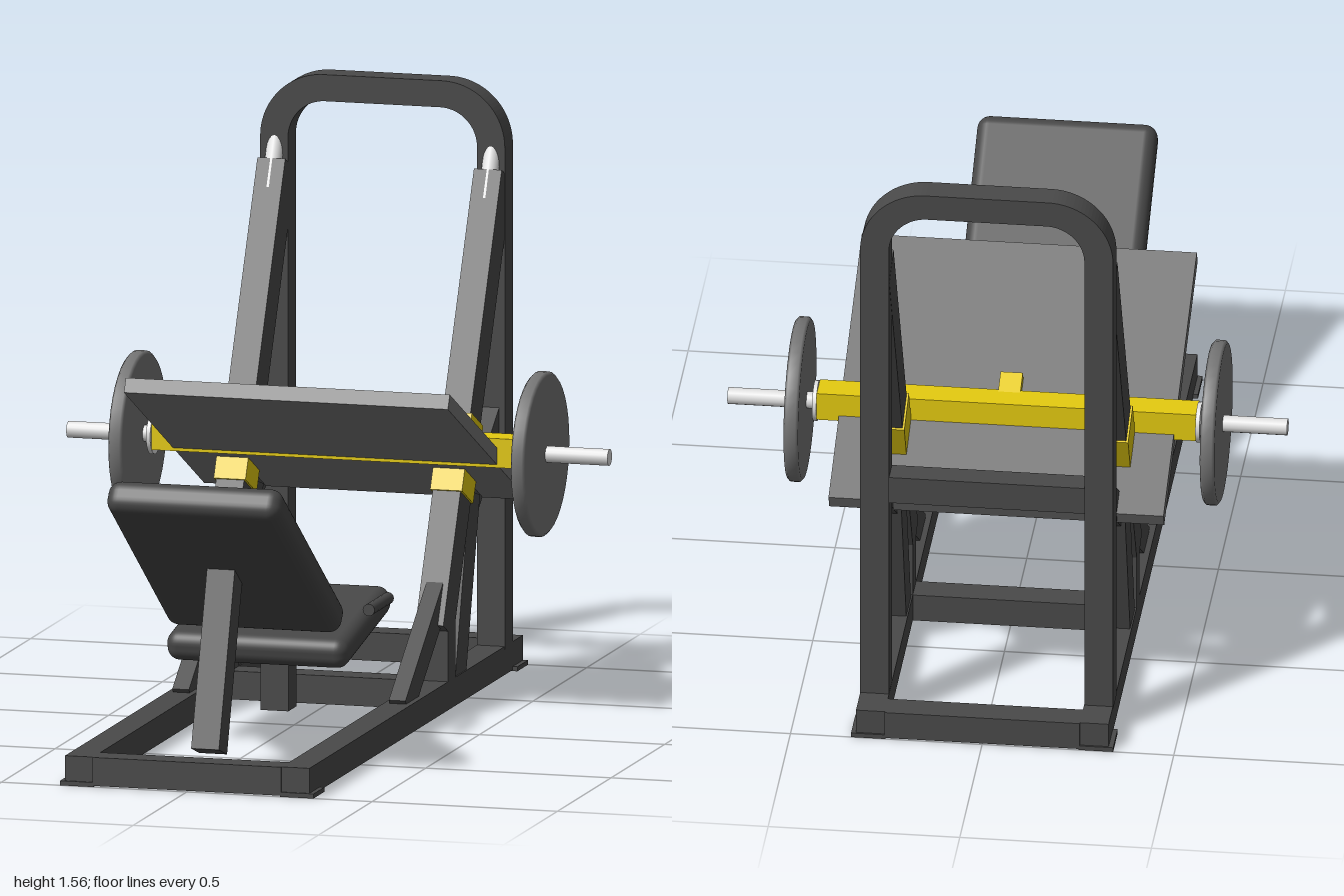
import * as THREE from 'three';
import { RoundedBoxGeometry } from 'three/addons/geometries/RoundedBoxGeometry.js';

const mat = (name, color) => {
  const m = new THREE.MeshStandardMaterial({ color });
  m.name = name;
  return m;
};

export function createModel() {
  const steel = mat('darkSteel', 0x4a4a4a);
  const vinyl = mat('padVinyl', 0x474747);
  const grey = mat('greyPlate', 0x757575);
  const yellow = mat('yellowPaint', 0xe6cc10);
  const chrome = mat('chrome', 0xe2e2e2);

  const root = new THREE.Group();
  root.name = 'legPressMachine';

  const add = (name, geo, material, x, y, z, tilt = 0) => {
    const mesh = new THREE.Mesh(geo, material);
    mesh.name = name;
    mesh.position.set(x, y, z);
    mesh.rotation.x = tilt;
    root.add(mesh);
    return mesh;
  };
  const box = (name, material, w, h, d, x, y, z, tilt) =>
    add(name, new THREE.BoxGeometry(w, h, d), material, x, y, z, tilt);
  const pad = (name, w, h, d, y, z, tilt) =>
    add(name, new RoundedBoxGeometry(w, h, d, 4, 0.034), vinyl, 0, y, z, tilt);
  // Straight tube between two [z, y] points
  const beam = (name, material, x, [z0, y0], [z1, y1], w, t) =>
    box(name, material, w, Math.hypot(z1 - z0, y1 - y0), t,
      x, (y0 + y1) / 2, (z0 + z1) / 2, Math.atan2(z1 - z0, y1 - y0));

  const T = 0.075, X = 0.292;          // tube size, side frame offset
  const railTilt = -0.459;             // lean of the guide rails

  // Base frame
  for (const z of [0.9625, -0.9625, -0.33])
    box('baseCrossbar', steel, 2 * X - T, T, T, 0, T / 2 + 0.003, z);
  for (const s of [-1, 1]) {
    box('baseRail', steel, T, T, 1.99, s * X, T / 2 + 0.003, 0);
    for (const e of [-1, 1])
      box('footPlate', steel, 0.09, 0.012, 0.1, s * 0.297, 0.006, e * 0.95);
  }

  // Rear hoop
  const o = 0.33, i = 0.255, top = 1.56, r = 0.17, ri = 0.1;
  const hoop = new THREE.Shape();
  hoop.moveTo(-o, 0.07);
  hoop.lineTo(-i, 0.07);
  hoop.lineTo(-i, top - r);
  hoop.absarc(-i + ri, top - r, ri, Math.PI, Math.PI / 2, true);
  hoop.absarc(i - ri, top - r, ri, Math.PI / 2, 0, true);
  hoop.lineTo(i, 0.07);
  hoop.lineTo(o, 0.07);
  hoop.lineTo(o, top - r);
  hoop.absarc(o - r, top - r, r, 0, Math.PI / 2, false);
  hoop.absarc(-o + r, top - r, r, Math.PI / 2, Math.PI, false);
  add('rearHoop', new THREE.ExtrudeGeometry(hoop, { depth: T, bevelEnabled: false, curveSegments: 12 }),
    steel, 0, 0, -0.9);
  box('hoopCrossbar', steel, 2 * i, T, T * 0.9, 0, 0.68, -0.8625);

  // Weight disc profile (radius, thickness)
  const disc = [[0, -0.019], [0.207, -0.019], [0.215, -0.012], [0.215, 0.012], [0.207, 0.019], [0, 0.019]]
    .map(([a, b]) => new THREE.Vector2(a, b));
  const sideways = (mesh) => { mesh.rotation.z = Math.PI / 2; };

  for (const s of [-1, 1]) {
    // Guide rail with its supports
    const x = s * X;
    beam('guideRail', steel, x, [-0.3, 0.21], [-0.845, 1.315], T, 0.105);
    beam('guideRod', chrome, x, [-0.79, 1.275], [-0.854, 1.402], 0.001, 0.001).visible = true;
    add('guideRodTip', new THREE.CylinderGeometry(0.023, 0.023, 0.16, 20), chrome, x, 1.33, -0.819, railTilt);
    box('railPost', steel, T, 0.19, 0.068, x, 0.165, -0.332);
    beam('railStrut', steel, x, [-0.425, 0.06], [-0.56, 0.53], T * 0.9, 0.1);
    beam('diagonalBrace', steel, x, [0.025, 0.055], [-0.85, 0.675], 0.045, 0.08);

    // Sliding sleeve
    box('railSleeve', yellow, 0.086, 0.21, 0.117, x, 0.63, -0.507, railTilt);

    // Loading horn, collar and weight disc
    sideways(add('loadingHorn', new THREE.CylinderGeometry(0.022, 0.022, 0.25, 16), chrome, s * 0.605, 0.668, -0.42));
    sideways(add('hornCollar', new THREE.CylinderGeometry(0.053, 0.053, 0.011, 24), chrome, s * 0.5, 0.668, -0.42));
    sideways(add('weightDisc', new THREE.LatheGeometry(disc, 40), grey, s * 0.543, 0.668, -0.418));

    // Hand grip beside the seat
    add('handGrip', new THREE.CylinderGeometry(0.016, 0.016, 0.18, 16), steel, s * 0.265, 0.355, 0.13, Math.PI / 2);
  }

  // Carriage
  box('pressPlate', grey, 0.874, 0.04, 0.834, 0, 0.7, -0.307, railTilt);
  box('carriageBar', yellow, 0.99, 0.077, 0.077, 0, 0.671, -0.42);
  box('carriageTab', yellow, 0.058, 0.035, 0.075, 0, 0.705, -0.362, railTilt);

  // Seat and backrest on their posts
  beam('backrestPost', steel, 0, [0.792, 0.07], [0.64, 0.53], T, 0.08);
  box('seatPost', steel, T, 0.2, T, 0, 0.17, 0.145);
  pad('backrest', 0.47, 0.088, 0.74, 0.556, 0.642, -0.611);
  pad('seat', 0.49, 0.08, 0.445, 0.294, 0.142, 0.185);

  // Drop the construction centreline of the rods
  root.children.filter((c) => c.name === 'guideRod').forEach((c) => root.remove(c));
  return root;
}
